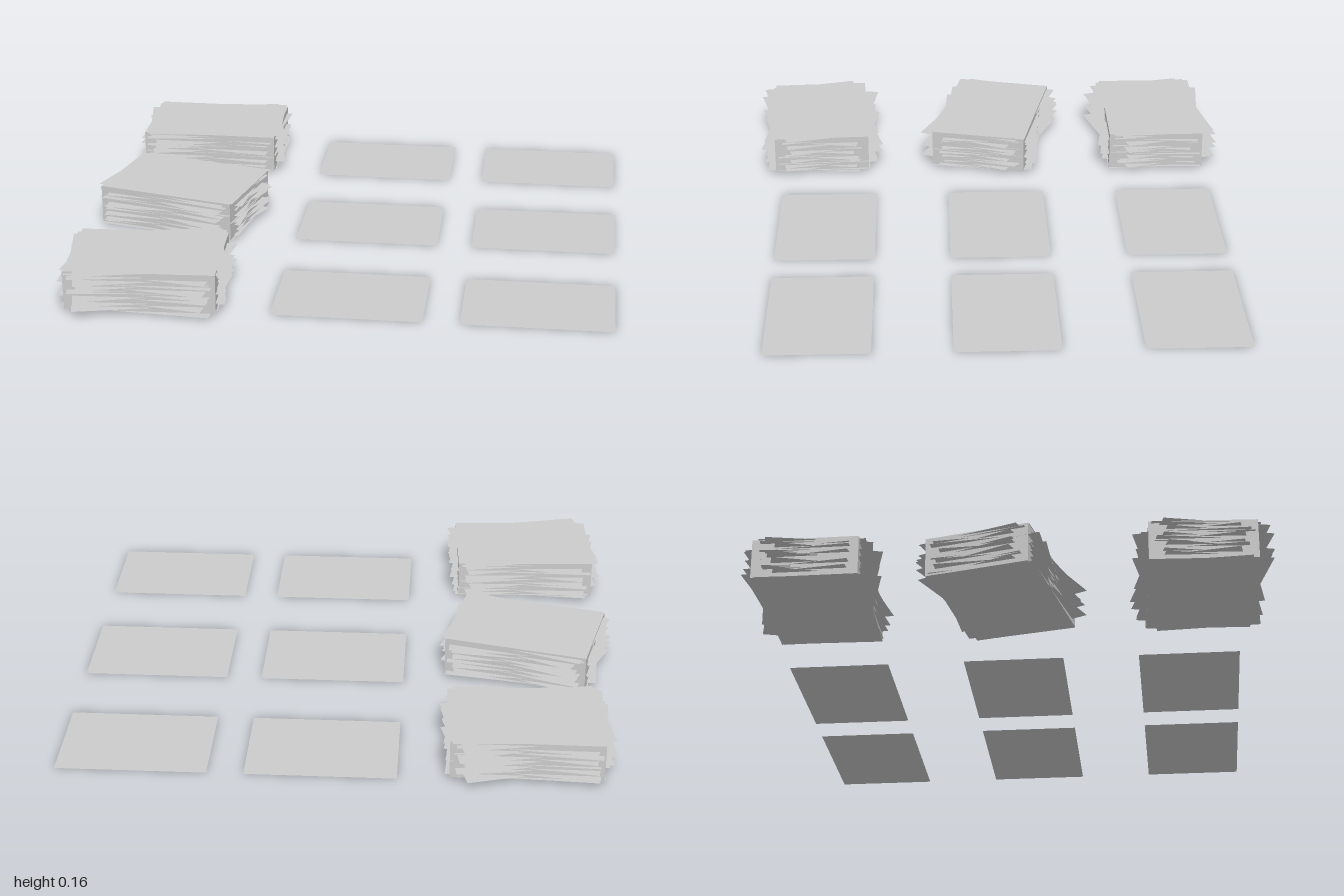
import * as THREE from 'three';

const W = 0.535, D = 0.373;          // sheet size
const BOTTOM = 0.01, TOP = 0.155;    // stack heights
const SHEETS = 20;

const material = new THREE.MeshStandardMaterial({ color: 0xcccccc, side: THREE.DoubleSide });
const sheetGeometry = new THREE.PlaneGeometry(W, D).rotateX(-Math.PI / 2);
const blockGeometry = new THREE.BoxGeometry(W, TOP - BOTTOM, D);

function addMesh(parent, name, geometry, x, y, z, degrees = 0) {
  const mesh = new THREE.Mesh(geometry, material);
  mesh.name = name;
  mesh.position.set(x, y, z);
  mesh.rotation.y = THREE.MathUtils.degToRad(degrees);
  parent.add(mesh);
}

// A solid block of paper with loose sheets turned out of line at many heights
function makeStack({ x, z, turn, min, max, top }) {
  const stack = new THREE.Group();
  stack.name = 'paperStack';
  stack.position.set(x, 0, z);
  addMesh(stack, 'paperBlock', blockGeometry, 0, (TOP + BOTTOM) / 2, 0, turn);
  for (let i = 0; i < SHEETS; i++) {
    const t = i / (SHEETS - 1);
    const last = i === SHEETS - 1;
    const swing = 0.5 + 0.5 * Math.sin(i * 2.4 + x * 9 + z * 5);
    const angle = last ? top : min + (max - min) * swing;
    const y = BOTTOM + t * (TOP - BOTTOM) + (last ? 0.001 : 0) - (i === 0 ? 0.001 : 0);
    addMesh(stack, 'looseSheet', sheetGeometry, 0.008 * Math.sin(i * 1.7), y, 0.008 * Math.cos(i * 2.9), angle);
  }
  return stack;
}

export function createModel() {
  const model = new THREE.Group();
  model.name = 'paperSheetsAndStacks';

  // Three untidy stacks in the right-hand column
  const stacks = [
    { x: -0.65, z: -0.68, turn: -0.4, min: -9, max: 16, top: 4 },
    { x: -0.657, z: -0.025, turn: -13.5, min: -26, max: -3, top: -13 },
    { x: -0.657, z: 0.675, turn: 2.7, min: -9, max: 16, top: 13 },
  ];
  for (const s of stacks) model.add(makeStack(s));

  // Single sheets lying flat in two columns of three
  for (const x of [0.068, 0.733]) {
    for (const z of [-0.685, -0.027, 0.627]) addMesh(model, 'flatSheet', sheetGeometry, x, 0, z);
  }
  return model;
}
